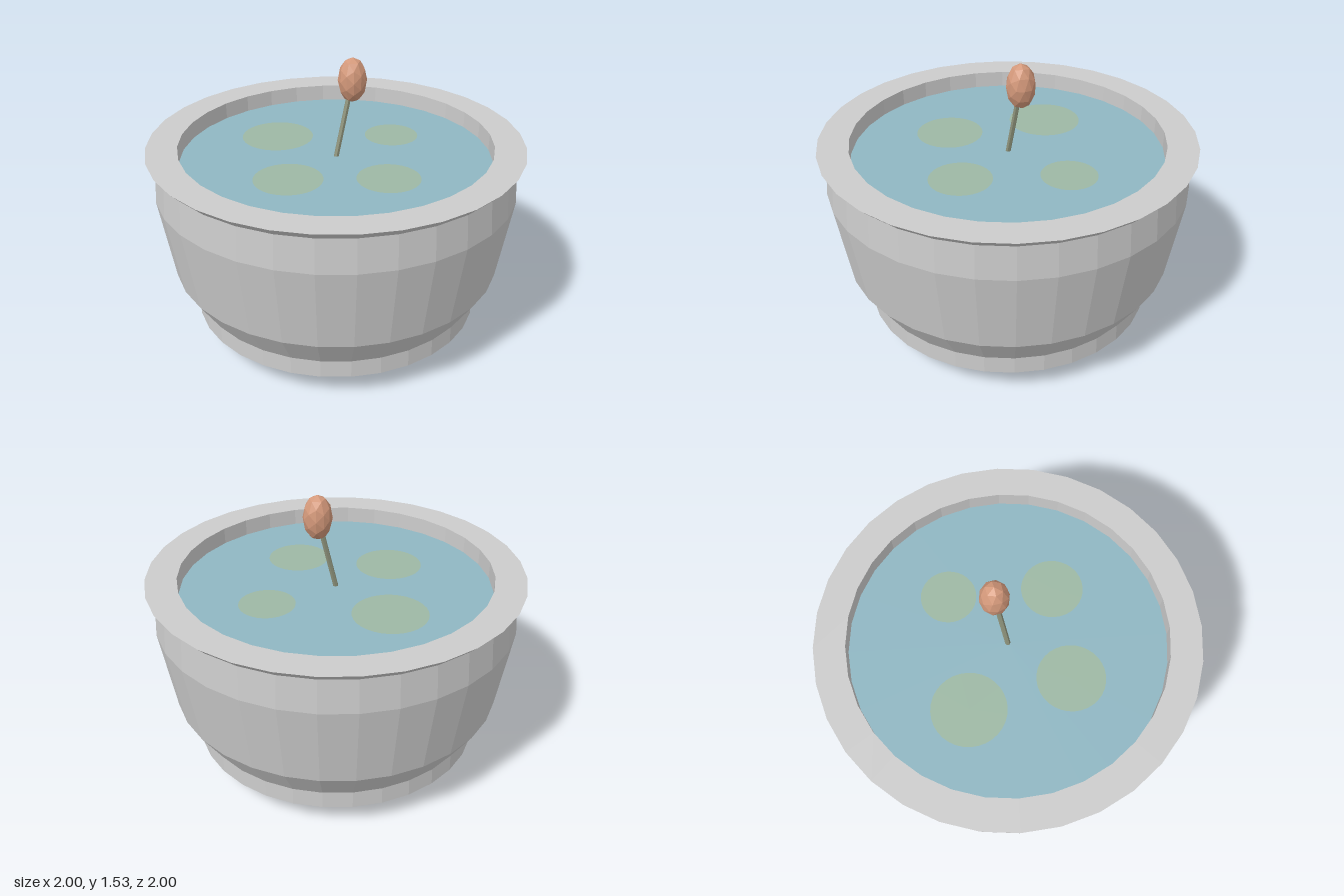
import * as THREE from 'three';

const SIDES = 32;
const WATER_Y = 1.0;

function material(color) {
  return new THREE.MeshStandardMaterial({ color, flatShading: true });
}

function part(name, geometry, mat) {
  const mesh = new THREE.Mesh(geometry, mat);
  mesh.name = name;
  return mesh;
}

function lathe(name, profile, mat) {
  const points = profile.map(([r, y]) => new THREE.Vector2(r, y));
  return part(name, new THREE.LatheGeometry(points, SIDES), mat);
}

function disc(name, radius, sides, x, y, z, mat) {
  // Starting at a quarter turn lines the corners up with the lathe
  const geometry = new THREE.CircleGeometry(radius, sides).rotateX(-Math.PI / 2);
  const mesh = part(name, geometry, mat);
  mesh.position.set(x, y, z);
  return mesh;
}

export function createModel() {
  const model = new THREE.Group();
  model.name = 'stoneBasin';
  const stone = material(0xcccccc);

  // Basin wall, from the shallow cone underneath up to the rim
  model.add(lathe('basin', [
    [0, 0], [0.685, 0.07], [0.73, 0.14], [0.782, 0.14], [0.78, 0.235],
    [0.893, 0.41], [0.967, 0.865], [0.953, 1.05],
  ], stone));

  // Flared rim and the inner wall that runs down past the water
  model.add(lathe('rim', [
    [0.94, 1.045], [0.955, 1.045], [1, 1.09], [0.835, 1.09], [0.832, 0.96],
  ], stone));

  // Water surface and the pale round patches floating on it
  model.add(disc('water', 0.834, SIDES, 0, WATER_Y, 0, material(0x8fb6c2)));
  const patchMaterial = material(0x9db8a4);
  const patches = [
    [-0.3, -0.285, 0.197], [0.335, -0.24, 0.148],
    [-0.27, 0.265, 0.18], [0.24, 0.305, 0.165],
  ];
  patches.forEach(([x, z, r], i) => {
    model.add(disc(`floatingPatch${i + 1}`, r, 32, x, WATER_Y + 0.005, z, patchMaterial));
  });

  // Thin leaning stem
  const foot = new THREE.Vector3(0, WATER_Y - 0.01, 0);
  const tip = new THREE.Vector3(0.09, 1.41, -0.045);
  const along = tip.clone().sub(foot);
  const stem = part('stem', new THREE.CylinderGeometry(0.014, 0.014, along.length(), 6), material(0x8f947c));
  stem.position.copy(foot).addScaledVector(along, 0.5);
  stem.quaternion.setFromUnitVectors(new THREE.Vector3(0, 1, 0), along.clone().normalize());
  model.add(stem);

  // Faceted bud at the stem's end
  const bud = part('bud', new THREE.IcosahedronGeometry(0.077, 1), material(0xd3987a));
  bud.scale.set(1, 1.58, 1);
  bud.position.copy(tip);
  model.add(bud);

  return model;
}
